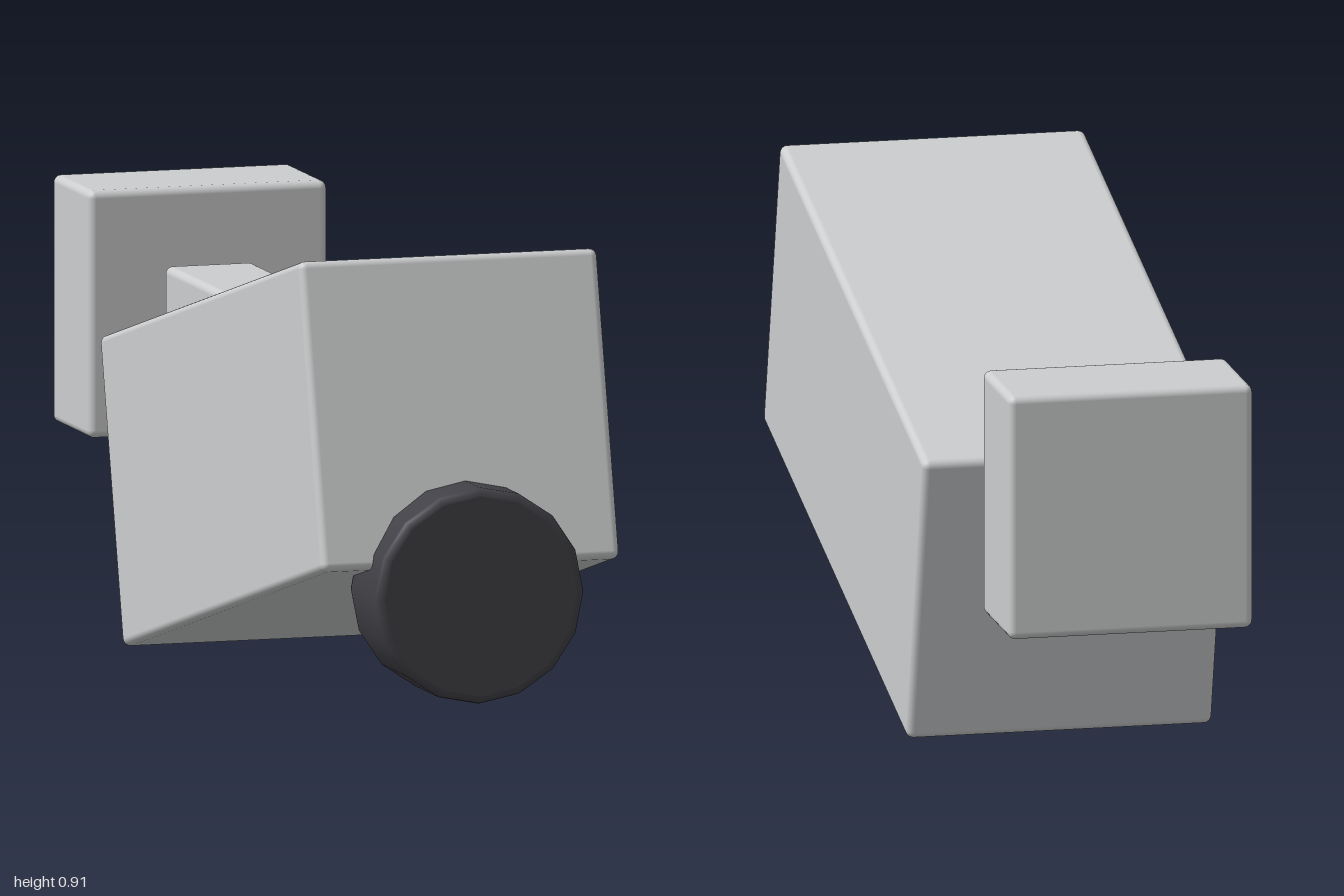
import * as THREE from 'three';
import { RoundedBoxGeometry } from 'three/addons/geometries/RoundedBoxGeometry.js';

const BEVEL = 0.015;

export function createModel() {
  const group = new THREE.Group();
  const casing = new THREE.MeshStandardMaterial({ color: 0xcccdce });
  casing.name = 'casing light grey';
  const dark = new THREE.MeshStandardMaterial({ color: 0x424147 });
  dark.name = 'lens dark grey';

  function add(name, geometry, material, y, z) {
    const mesh = new THREE.Mesh(geometry, material);
    mesh.name = name;
    mesh.position.set(0, y, z);
    group.add(mesh);
    return mesh;
  }
  const box = (w, h, d) => new RoundedBoxGeometry(w, h, d, 3, BEVEL);

  // Long camera housing, tipped with its front end raised
  add('housing', box(0.6, 0.6, 1.337), casing, 0.453, 0.217).rotation.x = -0.25;

  // Wall plate and the arm that carries the housing
  add('wallMount', box(0.48, 0.48, 0.24), casing, 0.58, -0.88);
  add('arm', box(0.18, 0.18, 0.482), casing, 0.58, -0.517);

  // Sixteen-sided lens with bevelled rims, lathed and turned to face forward
  const R = 0.21, H = 0.09;
  const profile = [new THREE.Vector2(0, -H), new THREE.Vector2(R - BEVEL - 0.002, -H)];
  for (const side of [-1, 1]) {
    for (let i = 0; i <= 3; i++) {
      const a = (side < 0 ? i - 3 : i) * Math.PI / 6;
      profile.push(new THREE.Vector2(R - BEVEL + BEVEL * Math.cos(a), side * (H - BEVEL) + BEVEL * Math.sin(a)));
    }
  }
  profile.push(new THREE.Vector2(R - BEVEL - 0.002, H), new THREE.Vector2(0, H));
  add('lens', new THREE.LatheGeometry(profile, 16), dark, 0.275, 0.91).rotation.x = Math.PI / 2;

  return group;
}
